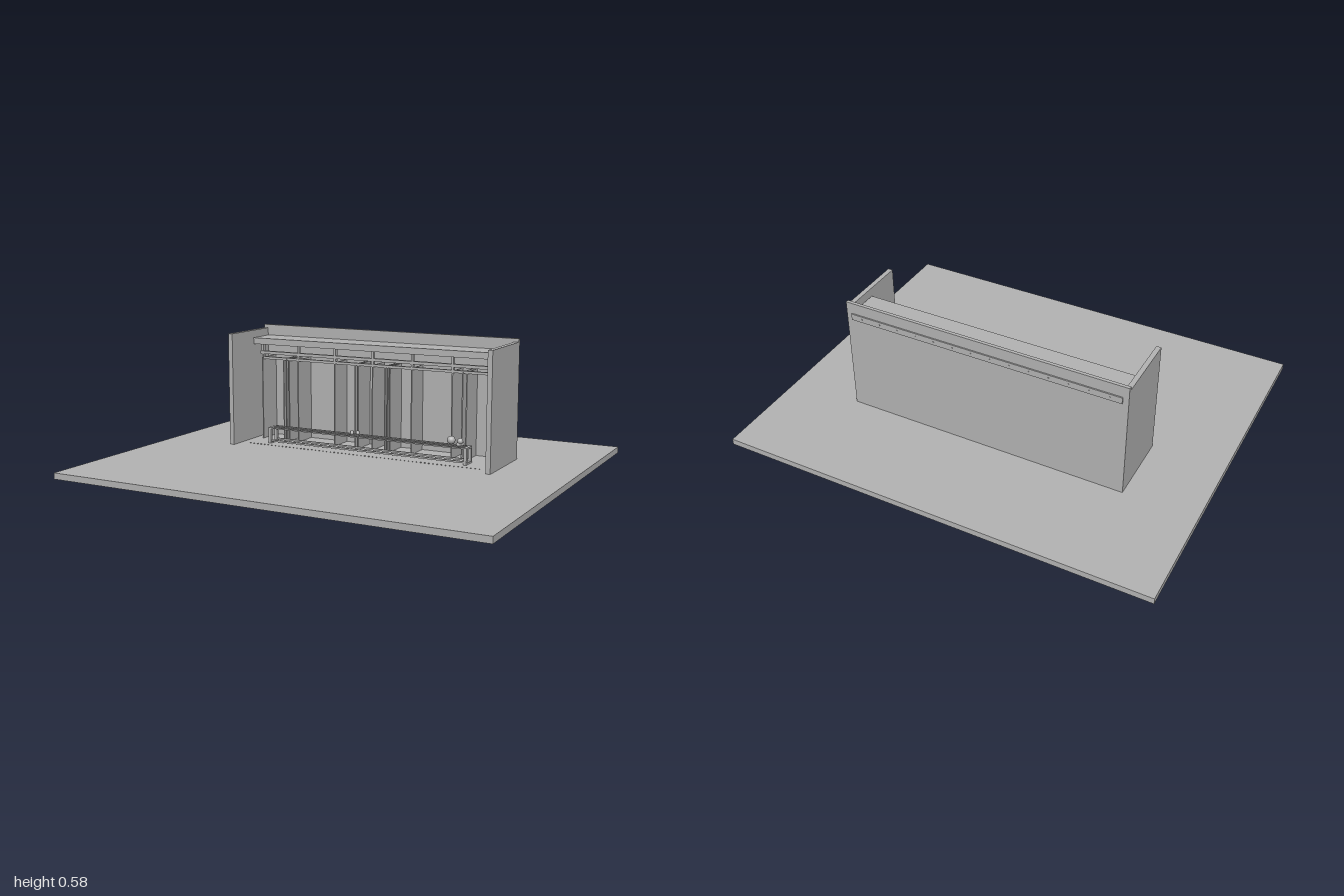
import * as THREE from 'three';

export function createModel() {
  const model = new THREE.Group();
  const grey = new THREE.MeshStandardMaterial({ color: 0xb4b4b4 });
  grey.name = 'plain grey';

  function add(name, geometry, x, y, z, parent = model) {
    const mesh = new THREE.Mesh(geometry, grey);
    mesh.name = name;
    mesh.position.set(x, y, z);
    parent.add(mesh);
    return mesh;
  }
  // box given by its limits on each axis
  function box(name, x0, x1, y0, y1, z0, z1, parent) {
    return add(name, new THREE.BoxGeometry(x1 - x0, y1 - y0, z1 - z0),
      (x0 + x1) / 2, (y0 + y1) / 2, (z0 + z1) / 2, parent);
  }
  function group(name) {
    const g = new THREE.Group();
    g.name = name;
    model.add(g);
    return g;
  }

  // floor and shell
  const floor = 0.028;
  box('floorSlab', -1, 1, 0, floor, -0.83, 0.83);
  box('backPanel', -0.664, 0.664, floor, 0.577, -0.352, -0.337);
  for (const [name, s] of [['leftSidePanel', 1], ['rightSidePanel', -1]]) {
    box(name, s * 0.653 - 0.011, s * 0.653 + 0.011, floor, 0.561, -0.337, -0.018);
  }
  // shelf passes through the back panel and shows as a strip behind
  box('shelf', -0.638, 0.638, 0.495, 0.525, -0.358, -0.198);

  // screw heads along the strip
  const screws = group('screws');
  const screw = new THREE.CylinderGeometry(0.003, 0.003, 0.003, 8).rotateX(Math.PI / 2);
  for (let i = 0; i < 14; i++) add('screw', screw, -0.585 + i * 0.09, 0.511, -0.359, screws);
  for (const s of [-1, 1]) {
    for (const x of [0.49, 0.53, 0.56]) add('screw', screw, s * x, 0.145, -0.336, screws);
  }

  // hanging rails with brackets under the shelf
  const rails = group('rails');
  box('upperRail', -0.61, 0.61, 0.447, 0.461, -0.235, -0.215, rails);
  box('lowerRail', -0.595, 0.595, 0.422, 0.434, -0.23, -0.216, rails);
  for (let i = -3; i <= 3; i++) {
    const x = i * 0.2;
    box('bracket', x - 0.005, x + 0.005, 0.434, 0.496, -0.234, -0.217, rails);
  }

  // upright fins between the back panel and the rails
  const fins = group('fins');
  const finX = [-0.6, -0.48, -0.465, -0.45, -0.4, -0.2, -0.09, -0.075, 0,
    0.065, 0.078, 0.09, 0.2, 0.4, 0.45, 0.47, 0.6];
  for (const x of finX) box('fin', x - 0.0025, x + 0.0025, floor, 0.43, -0.337, -0.215, fins);

  // low bench
  const bench = group('bench');
  for (const z of [-0.187, -0.16, -0.133]) {
    box('benchSlat', -0.515, 0.51, 0.099, 0.105, z - 0.006, z + 0.006, bench);
  }
  for (const x of [-0.508, 0.503]) {
    box('benchEnd', x - 0.007, x + 0.007, 0.097, 0.105, -0.193, -0.127, bench);
    box('benchFoot', x - 0.007, x + 0.007, floor, 0.036, -0.193, -0.127, bench);
    for (const z of [-0.187, -0.133]) {
      box('benchLeg', x - 0.007, x + 0.007, floor, 0.1, z - 0.006, z + 0.006, bench);
    }
  }
  for (const z of [-0.187, -0.133]) {
    box('benchLowerBar', -0.5, 0.5, 0.036, 0.044, z - 0.004, z + 0.004, bench);
  }

  // small things on the bench
  const items = group('benchItems');
  add('ball', new THREE.SphereGeometry(0.019, 20, 14), 0.415, 0.124, -0.178, items);
  for (const [x, z, turn] of [[-0.08, -0.165, 0.5], [-0.055, -0.175, 0.5], [0.468, -0.157, -0.6]]) {
    const item = add('smallObject', new THREE.CapsuleGeometry(0.009, 0.022, 4, 10).rotateX(Math.PI / 2),
      x, 0.114, z, items);
    item.rotation.y = turn;
  }
  add('smallKnob', new THREE.SphereGeometry(0.014, 16, 10), 0.468, 0.128, -0.155, items);

  // row of floor studs in front of the bench
  const studs = group('floorStuds');
  const stud = new THREE.CylinderGeometry(0.003, 0.003, 0.003, 8);
  for (let i = 0; i < 60; i++) add('stud', stud, -0.59 + i * 0.02, floor + 0.0015, -0.083, studs);

  return model;
}
